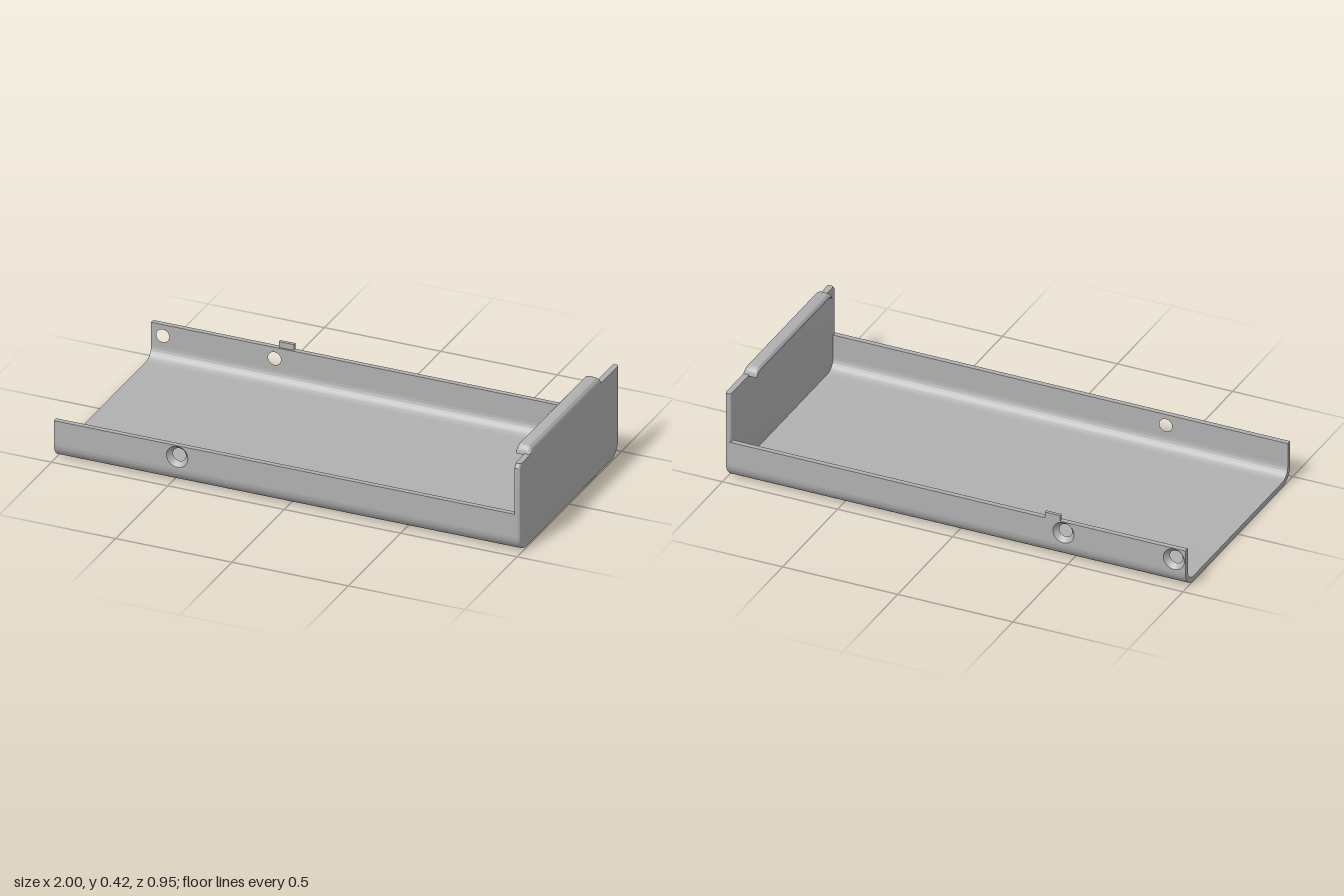
import * as THREE from 'three';
import { toCreasedNormals } from 'three/addons/utils/BufferGeometryUtils.js';

const W = 0.477;      // half width
const T = 0.022;      // sheet thickness
const R = 0.072;      // outer corner radius of the tray
const SPLIT = 0.075;  // height where the curved base meets the flat walls
const WALL_TOP = 0.172;
const PLATE_TOP = 0.39;

export function createModel() {
  const model = new THREE.Group();
  const grey = new THREE.MeshStandardMaterial({ color: 0xb0b0b0 });
  grey.name = 'plain grey';

  const add = (name, geometry) => {
    const flat = geometry.index ? geometry.toNonIndexed() : geometry;
    const mesh = new THREE.Mesh(toCreasedNormals(flat, 0.7), grey);
    mesh.name = name;
    model.add(mesh);
  };

  // Move every vertex by a rule
  const reshape = (geometry, rule) => {
    const p = geometry.attributes.position;
    const v = new THREE.Vector3();
    for (let i = 0; i < p.count; i++) {
      rule(v.fromBufferAttribute(p, i));
      p.setXYZ(i, v.x, v.y, v.z);
    }
    return geometry;
  };

  // Floor with rounded long edges: a U section swept along x
  const r = R - T;
  const section = new THREE.Shape();
  section.moveTo(-W, SPLIT);
  section.lineTo(-W, R);
  section.absarc(-W + R, R, R, Math.PI, Math.PI * 1.5, false);
  section.absarc(W - R, R, R, Math.PI * 1.5, Math.PI * 2, false);
  section.lineTo(W, SPLIT);
  section.lineTo(W - T, SPLIT);
  section.absarc(W - R, R, r, 0, -Math.PI / 2, true);
  section.absarc(-W + R, R, r, -Math.PI / 2, -Math.PI, true);
  section.lineTo(-W + T, SPLIT);
  const base = new THREE.ExtrudeGeometry(section, { depth: 1.985, bevelEnabled: false, curveSegments: 14 });
  base.rotateY(Math.PI / 2).translate(-1, 0, 0);
  add('trayFloor', base);

  // Side walls with countersunk screw holes, wide on the outside
  const holeY = 0.123, wide = 0.046, narrow = 0.028;
  const sideWall = (name, holes, isFront) => {
    const shape = new THREE.Shape();
    shape.moveTo(-1, SPLIT);
    shape.lineTo(0.985, SPLIT);
    shape.lineTo(0.985, WALL_TOP);
    shape.lineTo(-1, WALL_TOP);
    for (const x of holes) {
      shape.holes.push(new THREE.Path().absarc(x, holeY, wide, 0, Math.PI * 2, true));
    }
    const g = new THREE.ExtrudeGeometry(shape, { depth: T, bevelEnabled: false, curveSegments: 16 });
    reshape(g, v => {
      const inside = isFront ? v.z < T / 2 : v.z > T / 2;
      if (!inside) return;
      for (const x of holes) {
        if (Math.abs(Math.hypot(v.x - x, v.y - holeY) - wide) < 1e-4) {
          v.x = x + (v.x - x) * narrow / wide;
          v.y = holeY + (v.y - holeY) * narrow / wide;
          return;
        }
      }
    });
    g.translate(0, 0, isFront ? W - T : -W);
    add(name, g);
  };
  sideWall('frontWall', [-0.47], true);
  sideWall('backWall', [-0.47, -0.95], false);

  // Small locating tab on the back wall
  const tab = new THREE.BoxGeometry(0.065, 0.027, 0.014);
  tab.translate(-0.4225, 0.1835, -W + 0.007);
  add('backTab', tab);

  // Tall end plate with softened edges and a level top
  const B = 0.01;
  const outline = new THREE.Shape();
  outline.moveTo(-W, 0.375);
  outline.lineTo(-W, R);
  outline.absarc(-W + R, R, R, Math.PI, Math.PI * 1.5, false);
  outline.absarc(W - R, R, R, Math.PI * 1.5, Math.PI * 2, false);
  outline.lineTo(W, PLATE_TOP + B);
  outline.lineTo(-W + 0.015, PLATE_TOP + B);
  outline.lineTo(-W + 0.015, PLATE_TOP);
  const plate = new THREE.ExtrudeGeometry(outline, {
    depth: 0.005, bevelEnabled: true, bevelSize: B, bevelThickness: B,
    bevelOffset: -B, bevelSegments: 4, curveSegments: 14,
  });
  plate.rotateY(Math.PI / 2).translate(0.985, 0, 0);
  reshape(plate, v => { v.y = Math.min(v.y, PLATE_TOP); });
  add('endPlate', plate);

  // Hooked lip on the plate: sections along z that sink into it at both ends
  const hook = new THREE.Shape();
  hook.moveTo(0.976, 0.385);
  hook.lineTo(1, 0.385);
  hook.lineTo(1, 0.4);
  hook.absarc(0.978, 0.4, 0.022, 0, Math.PI / 2, false);
  hook.lineTo(0.953, 0.422);
  hook.absarc(0.953, 0.409, 0.013, Math.PI / 2, Math.PI * 1.5, false);
  hook.lineTo(0.97, 0.396);
  const zBack = -0.31, zFront = 0.375, round = 0.032;
  const ring = hook.getPoints(8);
  if (ring[0].distanceTo(ring[ring.length - 1]) < 1e-6) ring.pop();
  const n = ring.length;
  const stations = [];
  for (let i = 0; i <= 8; i++) {
    const a = (i / 8) * Math.PI / 2;
    stations.push([round * (1 - Math.cos(a)), 0.02 + 0.98 * Math.sin(a)]);
  }
  const slices = [
    ...stations.map(([d, s]) => [zBack + d, s]),
    ...stations.slice().reverse().map(([d, s]) => [zFront - d, s]),
  ];
  const pos = [], idx = [];
  for (const [z, s] of slices) {
    for (const p of ring) pos.push(p.x, 0.385 + (p.y - 0.385) * s, z);
  }
  for (let k = 0; k < slices.length - 1; k++) {
    for (let i = 0; i < n; i++) {
      const a = k * n + i, b = k * n + (i + 1) % n;
      idx.push(a, b, b + n, a, b + n, a + n);
    }
  }
  const last = (slices.length - 1) * n;
  for (const [i, j, k] of THREE.ShapeUtils.triangulateShape(ring, [])) {
    idx.push(k, j, i, last + i, last + j, last + k);
  }
  const lip = new THREE.BufferGeometry();
  lip.setAttribute('position', new THREE.Float32BufferAttribute(pos, 3));
  lip.setIndex(idx);
  add('endLip', lip);

  return model;
}
